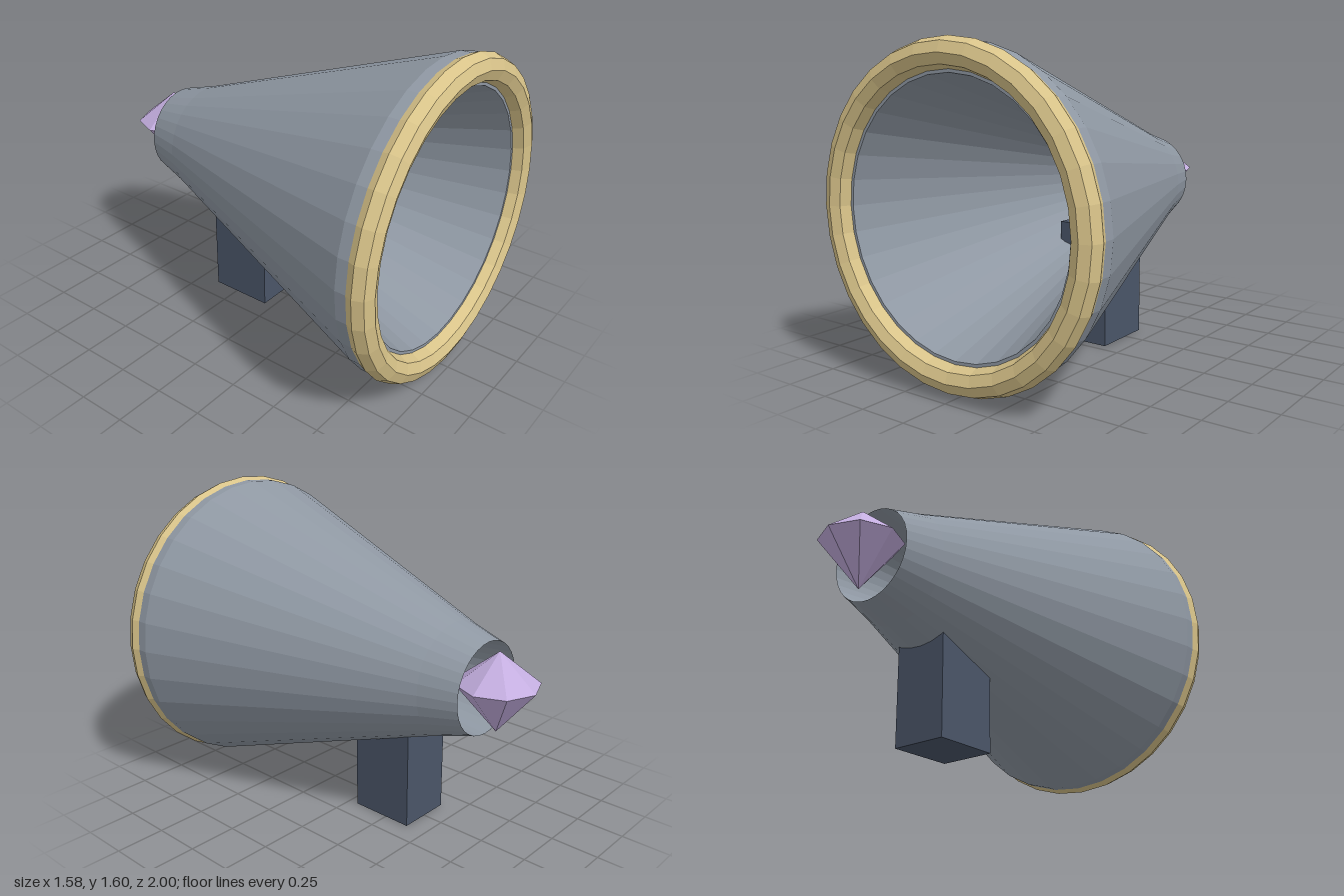
import * as THREE from 'three';

const AXIS_Y = 0.81;
const SIDES = 32;

function material(name, color) {
  const m = new THREE.MeshStandardMaterial({ color, flatShading: true });
  m.name = name;
  return m;
}

export function createModel() {
  const model = new THREE.Group();
  model.name = 'hornModel';

  const steel = material('steel grey', 0x8f98a3);
  const brass = material('pale brass', 0xd9c48a);
  const violet = material('lilac crystal', 0xc4aee0);
  const slate = material('dark slate', 0x4a5568);

  const add = (name, geometry, mat, x, y, z, parent = model) => {
    const mesh = new THREE.Mesh(geometry, mat);
    mesh.name = name;
    mesh.position.set(x, y, z);
    parent.add(mesh);
    return mesh;
  };

  // Thick-walled horn: [radius, z] up the outside, over the lip, down the inside to the throat
  const profile = [
    [0.23, -0.74], [0.285, -0.55], [0.775, 0.84], [0.775, 0.93],
    [0.635, 0.93], [0.19, -0.39], [0.23, -0.74],
  ].map(([r, z]) => new THREE.Vector2(r, z));
  const horn = new THREE.LatheGeometry(profile, SIDES);
  horn.rotateX(Math.PI / 2);
  add('horn', horn, steel, 0, AXIS_Y, 0);

  // Rounded rim around the mouth
  add('mouthRing', new THREE.TorusGeometry(0.72, 0.07, 8, SIDES), brass, 0, AXIS_Y, 0.93);

  // Grip, reaching through the wall of the horn
  add('handle', new THREE.BoxGeometry(0.284, 0.635, 0.34), slate, 0, 0.3175, -0.22);

  // Crystal in the narrow end: shallow crown over a deeper point
  const crystal = new THREE.Group();
  crystal.name = 'crystal';
  crystal.position.set(0, 0.85, -0.8);
  model.add(crystal);
  add('crystalCrown', new THREE.ConeGeometry(0.2, 0.16, 8, 1, true), violet, 0, 0.08, 0, crystal);
  const point = new THREE.ConeGeometry(0.2, 0.24, 8, 1, true).rotateX(Math.PI);
  add('crystalPoint', point, violet, 0, -0.12, 0, crystal);

  return model;
}
